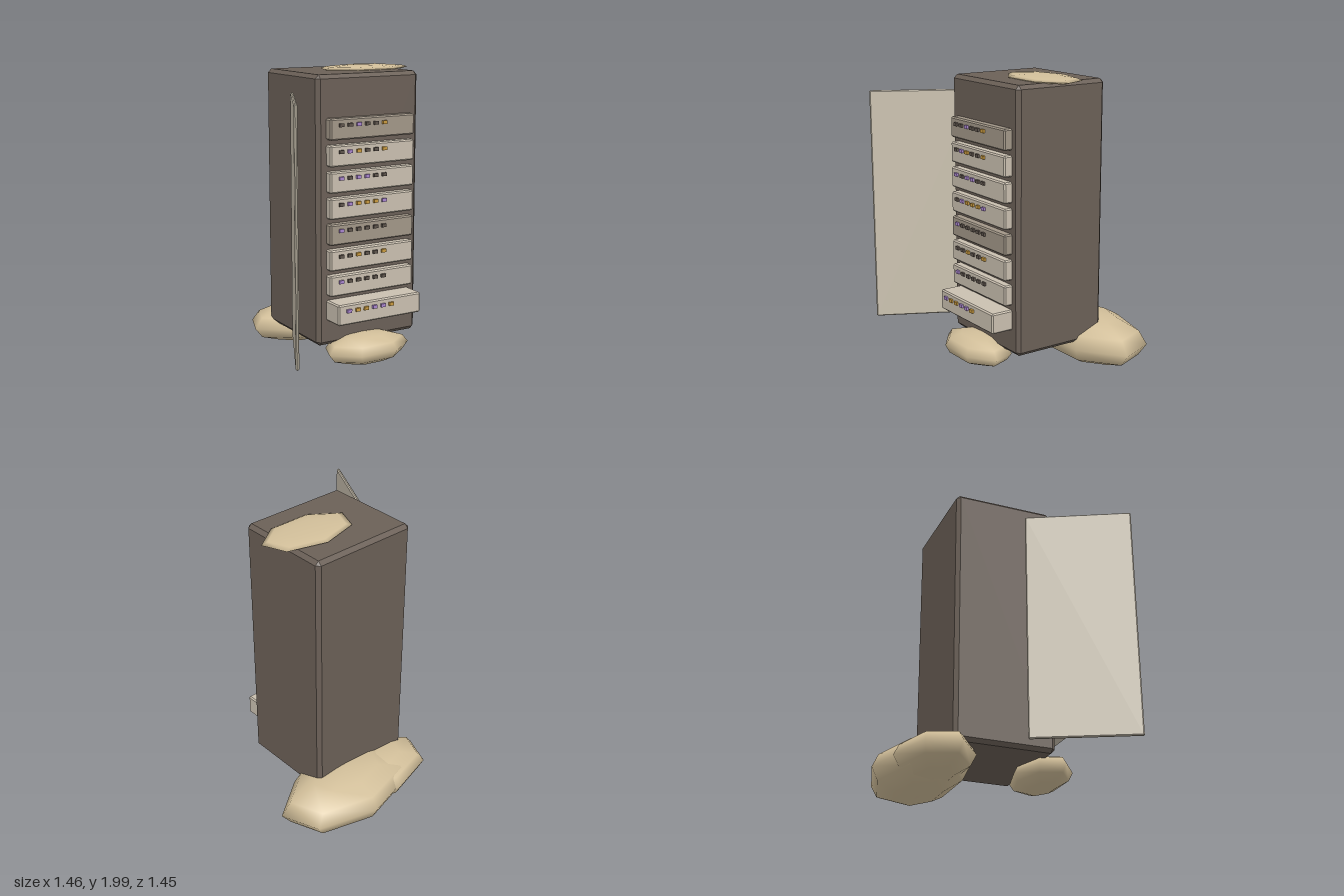
import * as THREE from 'three';
import { ConvexGeometry } from 'three/addons/geometries/ConvexGeometry.js';

const mat = (name, color) => {
  const m = new THREE.MeshStandardMaterial({ color });
  m.name = name;
  return m;
};

// Box with every edge and corner cut by a flat chamfer c
function chamferBox(w, h, d, c) {
  const points = [];
  const half = [w / 2, h / 2, d / 2];
  for (const sx of [-1, 1]) for (const sy of [-1, 1]) for (const sz of [-1, 1]) {
    const s = [sx, sy, sz];
    for (let axis = 0; axis < 3; axis++) {
      points.push(new THREE.Vector3(...half.map((v, i) => s[i] * (i === axis ? v : v - c))));
    }
  }
  return new ConvexGeometry(points);
}

export function createModel() {
  const model = new THREE.Group();
  model.name = 'serverCabinet';

  const cabinetMat = mat('cabinet brown', 0x6b6057);
  const doorMat = mat('door beige', 0xcac1af);
  const lightMat = mat('unit beige', 0xcac0b0);
  const dullMat = mat('unit taupe', 0xa29788);
  const sandMat = mat('sand', 0xd2bf9a);
  const lamps = {
    d: mat('lamp off', 0x5f554d),
    p: mat('lamp violet', 0xab87d0),
    y: mat('lamp amber', 0xcc9c40),
  };

  const add = (name, geometry, material, x, y, z, parent = model) => {
    const mesh = new THREE.Mesh(geometry, material);
    mesh.name = name;
    mesh.position.set(x, y, z);
    parent.add(mesh);
    return mesh;
  };

  // Cabinet body
  add('cabinet', chamferBox(0.76, 1.75, 0.68, 0.025), cabinetMat, 0.04, 1.095, -0.035);

  // Door swung open beside the cabinet
  const door = add('door', chamferBox(0.71, 1.59, 0.022, 0.007), doorMat, -0.56, 1.055, 0.405);
  door.rotation.y = 1.1;

  // Rack units from top to bottom, each with a row of six lamps
  const rows = ['dpd', 'x'].length && ['ddpddy', 'dpyddy', 'pdppdd', 'dpyyyp', 'pddddd', 'ddyddy', 'pddddd', 'pyyppy'];
  const unitGeo = chamferBox(0.63, 0.136, 0.2, 0.009);
  const lampGeo = new THREE.BoxGeometry(0.032, 0.022, 0.03);
  rows.forEach((row, r) => {
    const unit = new THREE.Group();
    unit.name = 'rackUnit' + (r + 1);
    const pulledOut = r === rows.length - 1;
    unit.position.set(0.039, 1.633 - r * 0.168, pulledOut ? 0.457 : 0.36);
    model.add(unit);
    add('unitCase', unitGeo, r % 4 === 0 ? dullMat : lightMat, 0, 0, -0.1, unit);
    [...row].forEach((key, i) => {
      add('lamp', lampGeo, lamps[key], -0.24 + i * 0.064, 0.026, 0, unit);
    });
  });

  // Sand drifts: coarse seven-sided ellipsoids
  const driftGeo = new THREE.SphereGeometry(1, 7, 6).rotateY(-Math.PI / 2);
  const drifts = [
    ['backDriftLarge', 0.22, 0.178, -0.42, 0.523, 0.172, 0.305],
    ['backDriftSmall', -0.05, 0.178, -0.413, 0.42, 0.137, 0.252],
    ['frontDrift', 0, 0.178, 0.348, 0.311, 0.102, 0.186],
    ['roofDrift', 0.21, 1.976, -0.035, 0.333, 0.024, 0.19],
  ];
  for (const [name, x, y, z, rx, ry, rz] of drifts) {
    add(name, driftGeo, sandMat, x, y, z).scale.set(rx, ry, rz);
  }

  return model;
}
